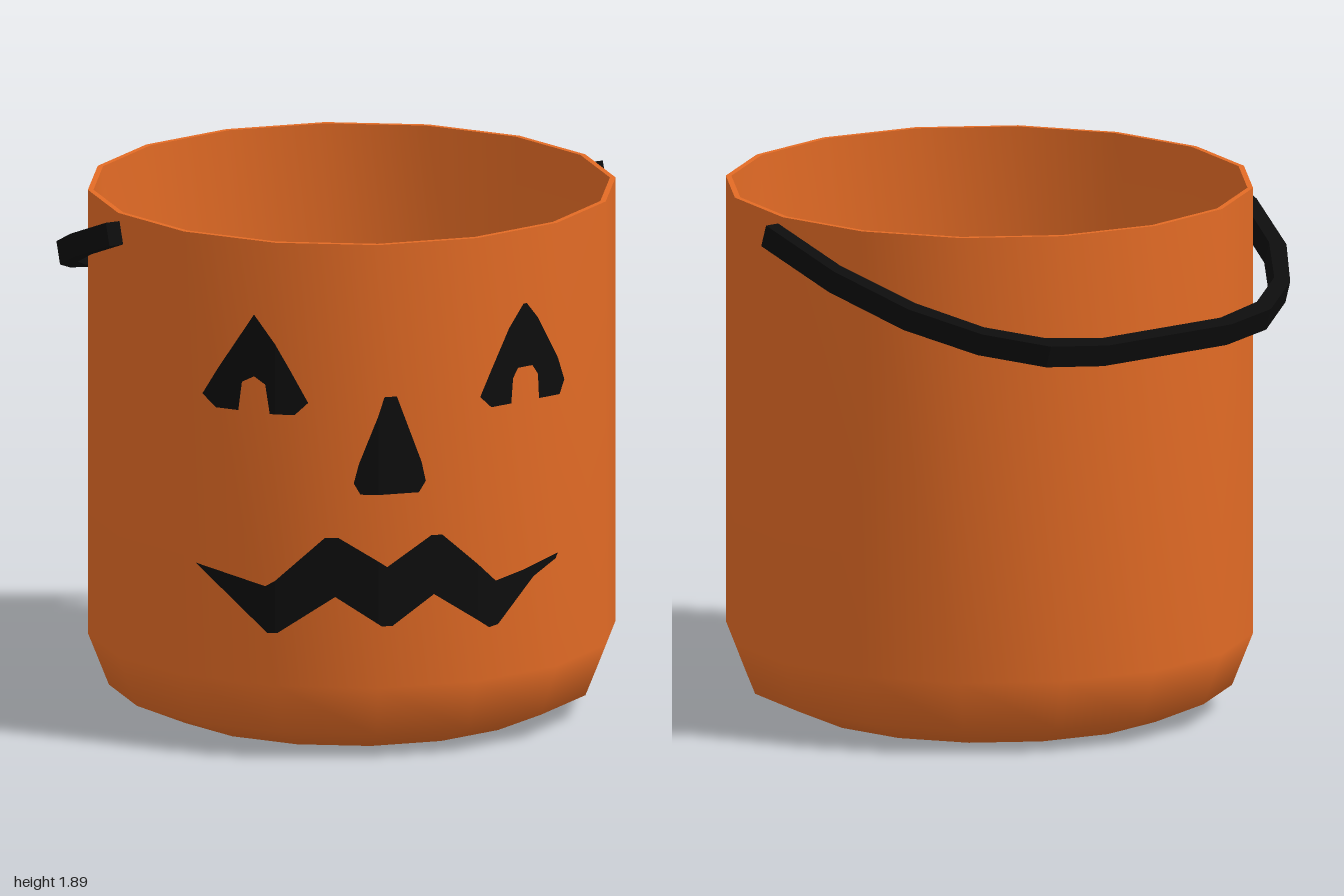
import * as THREE from 'three';
import { mergeVertices } from 'three/addons/utils/BufferGeometryUtils.js';

const SIDES = 16, R = 0.94, CZ = 0.037, TOP = 1.89;
const v2 = (pts) => pts.map(([x, y]) => new THREE.Vector2(x, y));

// Sixteen-sided turned surface with area-weighted smooth normals
function turned(profile) {
  const g = new THREE.LatheGeometry(v2(profile), SIDES);
  g.deleteAttribute('uv');
  g.deleteAttribute('normal');
  const m = mergeVertices(g, 1e-4);
  m.computeVertexNormals();
  return m;
}

// Cut a convex polygon at a vertical line; sign 1 keeps x > line, -1 keeps x < line
function cut(poly, line, sign) {
  const out = [];
  poly.forEach((a, i) => {
    const b = poly[(i + 1) % poly.length];
    const da = (a.x - line) * sign, db = (b.x - line) * sign;
    if (da >= 0) out.push(a);
    if (da * db < 0) out.push(a.clone().lerp(b, da / (da - db)));
  });
  return out;
}

// Lay a flat outline, drawn from the front, onto the facets of the wall
function onWall(pts) {
  const outline = v2(pts);
  if (THREE.ShapeUtils.isClockWise(outline)) outline.reverse();
  const step = (Math.PI * 2) / SIDES, pos = [], r = R + 0.005;
  for (const face of THREE.ShapeUtils.triangulateShape(outline, [])) {
    for (let k = -SIDES / 4; k < SIDES / 4; k++) {
      const x0 = r * Math.sin(k * step), x1 = r * Math.sin((k + 1) * step);
      const z0 = r * Math.cos(k * step), z1 = r * Math.cos((k + 1) * step);
      const piece = cut(cut(face.map((i) => outline[i]), x0, 1), x1, -1);
      for (let i = 1; i < piece.length - 1; i++) {
        for (const p of [piece[0], piece[i], piece[i + 1]]) {
          pos.push(p.x, p.y, z0 + ((z1 - z0) * (p.x - x0)) / (x1 - x0));
        }
      }
    }
  }
  const g = new THREE.BufferGeometry();
  g.setAttribute('position', new THREE.Float32BufferAttribute(pos, 3));
  g.computeVertexNormals();
  return g;
}

export function createModel() {
  const orange = new THREE.MeshStandardMaterial({ color: 0xe36b25 });
  orange.name = 'orange plastic';
  const black = new THREE.MeshStandardMaterial({ color: 0x0d0d0d });
  black.name = 'black';

  const model = new THREE.Group();
  model.name = 'pumpkinBucket';
  const add = (parent, name, geometry, material) => {
    const mesh = new THREE.Mesh(geometry, material);
    mesh.name = name;
    parent.add(mesh);
    return mesh;
  };

  // Bucket: outer shell, rim and inside
  const bucket = new THREE.Group();
  bucket.name = 'bucket';
  bucket.position.z = CZ;
  model.add(bucket);
  add(bucket, 'outerShell', turned([[0, 0], [0.67, 0], [0.865, 0.085], [R, 0.275], [R, TOP]]), orange);
  add(bucket, 'rim', turned([[R, TOP], [0.92, TOP]]), orange);
  add(bucket, 'inside', turned([[0.92, TOP], [0.92, 0.28], [0.845, 0.1], [0.655, 0.02], [0, 0.02]]), orange);

  // Face painted on the wall, turned a little to one side
  const face = new THREE.Group();
  face.name = 'face';
  bucket.add(face);
  add(face, 'rightEye', onWall([
    [-0.715, 1.62], [-0.795, 1.41], [-0.83, 1.31], [-0.8, 1.265], [-0.75, 1.265], [-0.742, 1.37],
    [-0.715, 1.395], [-0.69, 1.37], [-0.68, 1.265], [-0.61, 1.265], [-0.57, 1.31], [-0.625, 1.43],
  ]), black);
  add(face, 'leftEye', onWall([
    [0.205, 1.62], [0.14, 1.54], [0.06, 1.4], [0.01, 1.31], [0.06, 1.265], [0.15, 1.265], [0.158, 1.355],
    [0.18, 1.39], [0.245, 1.39], [0.27, 1.355], [0.275, 1.265], [0.37, 1.265], [0.4, 1.31],
    [0.355, 1.41], [0.27, 1.56], [0.22, 1.62],
  ]), black);
  add(face, 'nose', onWall([
    [-0.34, 1.335], [-0.295, 1.335], [-0.205, 1.09], [-0.19, 1.02], [-0.215, 0.98],
    [-0.415, 0.98], [-0.435, 1.02], [-0.42, 1.09],
  ]), black);
  add(face, 'mouth', onWall([
    [-0.845, 0.69], [-0.69, 0.635], [-0.52, 0.82], [-0.48, 0.82], [-0.33, 0.715], [-0.17, 0.82],
    [-0.13, 0.82], [0.08, 0.63], [0.2, 0.65], [0.36, 0.69], [0.35, 0.67], [0.25, 0.62], [0.09, 0.47],
    [0.05, 0.465], [-0.16, 0.605], [-0.31, 0.5], [-0.35, 0.5], [-0.49, 0.605], [-0.66, 0.47],
    [-0.685, 0.465], [-0.76, 0.57],
  ]), black);

  // Handle: half of each edge, mirrored, extruded and tipped back
  const outer = [[1, 0], [0.962, 0.354], [0.86, 0.666], [0.7, 0.899], [0.5, 1.047], [0.28, 1.1]];
  const inner = [[0.945, 0], [0.91, 0.322], [0.805, 0.634], [0.66, 0.856], [0.48, 0.988], [0.27, 1.047]];
  const both = (edge) => [...edge, ...edge.map(([x, y]) => [-x, y]).reverse()];
  const band = new THREE.Shape(v2([...both(outer), ...both(inner).reverse()]));
  const handleGeometry = new THREE.ExtrudeGeometry(band, { depth: 0.084, bevelEnabled: false });
  handleGeometry.translate(0, 0, -0.042);
  const handle = add(model, 'handle', handleGeometry, black);
  handle.position.set(0, 1.825, 0.07);
  handle.rotation.x = -(Math.PI / 2 + 0.33);

  return model;
}
